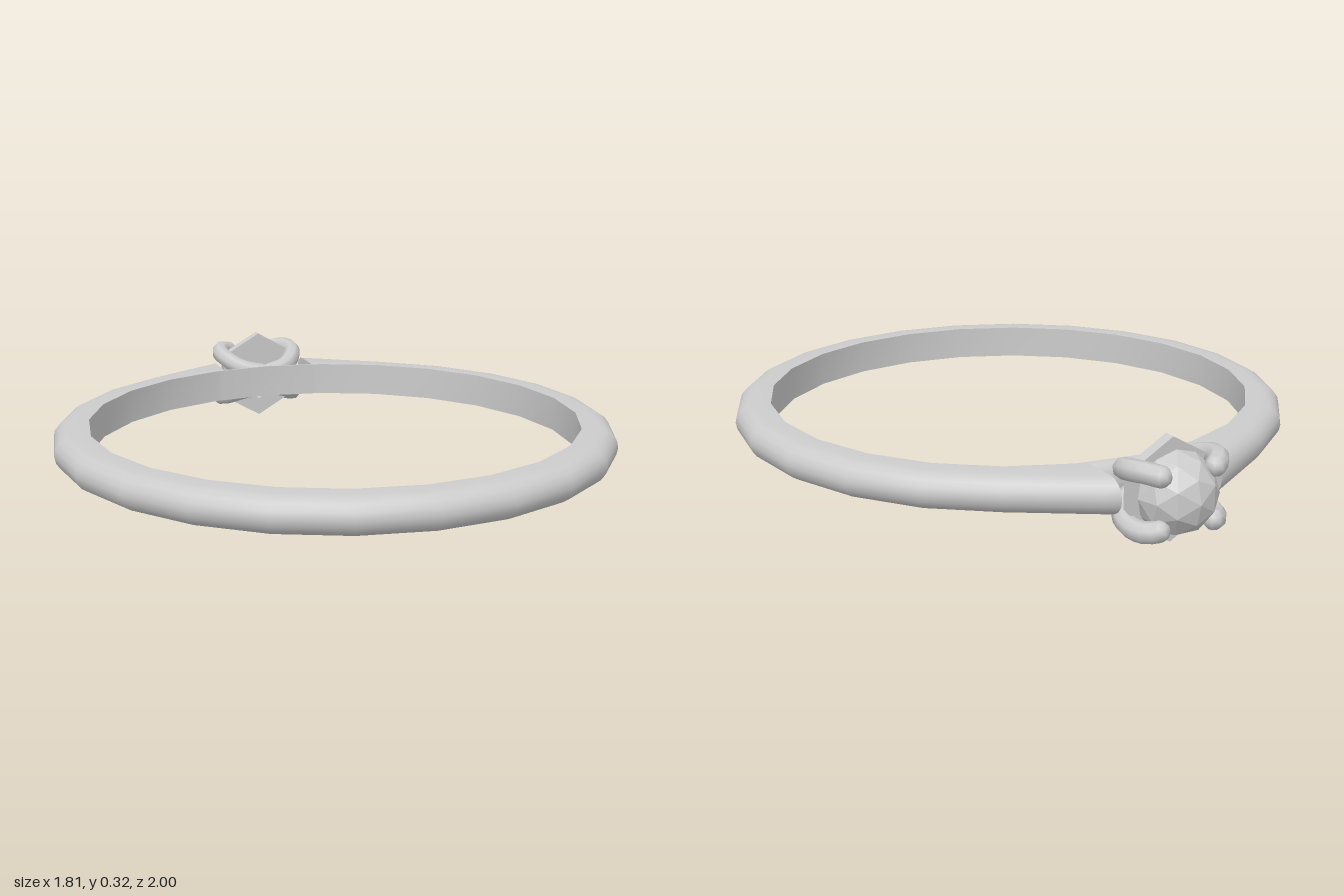
import * as THREE from 'three';
import { toCreasedNormals } from 'three/addons/utils/BufferGeometryUtils.js';

const Y = 0.158;          // mid-height of the ring
const CZ = 0.09;          // centre of the band in z
const HALF = 0.056;       // half the band's width

// D-shaped section: flat inside, rounded outside, from inner to outer point (x, z)
function bandSection([ix, iz], [ox, oz]) {
  const depth = Math.hypot(ox - ix, oz - iz);
  const round = Math.min(0.06, depth * 0.8);
  const at = (d, y) => {
    const t = d / depth;
    return [ix + (ox - ix) * t, Y + y, iz + (oz - iz) * t];
  };
  const points = [at(0, HALF)];
  for (let i = 0; i <= 8; i++) {
    const a = Math.PI / 2 - (i / 8) * Math.PI;
    points.push(at(depth - round * (1 - Math.cos(a)), HALF * Math.sin(a)));
  }
  points.push(at(0, -HALF));
  return points;
}

function bandGeometry() {
  // Half of the band, as pairs of inner and outer points
  const half = [];
  for (let k = 0; k <= 10; k++) {
    const a = (k * Math.PI) / 12;
    half.push([0.79, 0.905].map(r => [r * Math.sin(a), CZ + r * Math.cos(a)]));
  }
  half.push(
    [[0.204, -0.673], [0.204, -0.845]],   // raised shoulder
    [[0.17, -0.678], [0.17, -0.865]],     // end of the shoulder
    [[0.17, -0.678], [0.17, -0.722]],     // thin bridge under the setting
    [[0, -0.70], [0, -0.738]]
  );
  const mirrored = half.slice(1, -1).reverse().map(pair => pair.map(([x, z]) => [-x, z]));
  const sections = [...half, ...mirrored].map(pair => bandSection(...pair));

  const n = sections[0].length;
  const count = sections.length;
  const index = [];
  for (let i = 0; i < count; i++) {
    for (let j = 0; j < n; j++) {
      const a = i * n + j;
      const b = i * n + ((j + 1) % n);
      const c = ((i + 1) % count) * n + j;
      const d = ((i + 1) % count) * n + ((j + 1) % n);
      index.push(a, b, c, b, d, c);
    }
  }
  const geometry = new THREE.BufferGeometry();
  geometry.setAttribute('position', new THREE.Float32BufferAttribute(sections.flat(2), 3));
  geometry.setIndex(index);
  return toCreasedNormals(geometry, 0.65);
}

function hexagon(target, radius) {
  for (let i = 0; i < 6; i++) {
    const a = Math.PI / 2 + (i * Math.PI) / 3;
    const x = radius * Math.cos(a);
    const y = radius * Math.sin(a);
    if (i === 0) target.moveTo(x, y);
    else target.lineTo(x, y);
  }
  target.closePath();
  return target;
}

export function createModel() {
  const group = new THREE.Group();
  const metal = new THREE.MeshStandardMaterial({ color: 0xcccccc });
  const faceted = new THREE.MeshStandardMaterial({ color: 0xcccccc, flatShading: true });
  const add = (name, geometry, material, parent = group) => {
    const mesh = new THREE.Mesh(geometry, material);
    mesh.name = name;
    parent.add(mesh);
    return mesh;
  };

  add('band', bandGeometry(), metal);

  // Hexagonal collar under the stone
  const collar = hexagon(new THREE.Shape(), 0.158);
  collar.holes.push(hexagon(new THREE.Path(), 0.095));
  const collarGeometry = new THREE.ExtrudeGeometry(collar, { depth: 0.036, bevelEnabled: false });
  add('collar', collarGeometry, faceted).position.set(0, Y, -0.858);

  // Faceted stone with a flat base
  const stoneGeometry = new THREE.IcosahedronGeometry(0.125, 1);
  const p = stoneGeometry.attributes.position;
  for (let i = 0; i < p.count; i++) p.setZ(i, Math.min(p.getZ(i), 0.02));
  add('stone', stoneGeometry, faceted).position.set(0, Y, -0.875);

  // Four curved prongs with rounded tips
  const prongs = new THREE.Group();
  prongs.name = 'prongs';
  group.add(prongs);
  const radius = 0.032;
  for (const sx of [1, -1]) {
    for (const sy of [1, -1]) {
      const path = new THREE.CatmullRomCurve3([
        [0, 0.025, -0.728], [0.085, 0.045, -0.755], [0.13, 0.072, -0.81],
        [0.138, 0.085, -0.865], [0.12, 0.088, -0.91], [0.092, 0.08, -0.935]
      ].map(([x, y, z]) => new THREE.Vector3(sx * x, Y + sy * y, z)));
      add('prong', new THREE.TubeGeometry(path, 14, radius, 8), metal, prongs);
      const tip = add('prongTip', new THREE.SphereGeometry(radius, 8, 6), metal, prongs);
      tip.position.copy(path.getPoint(1));
    }
  }
  return group;
}
